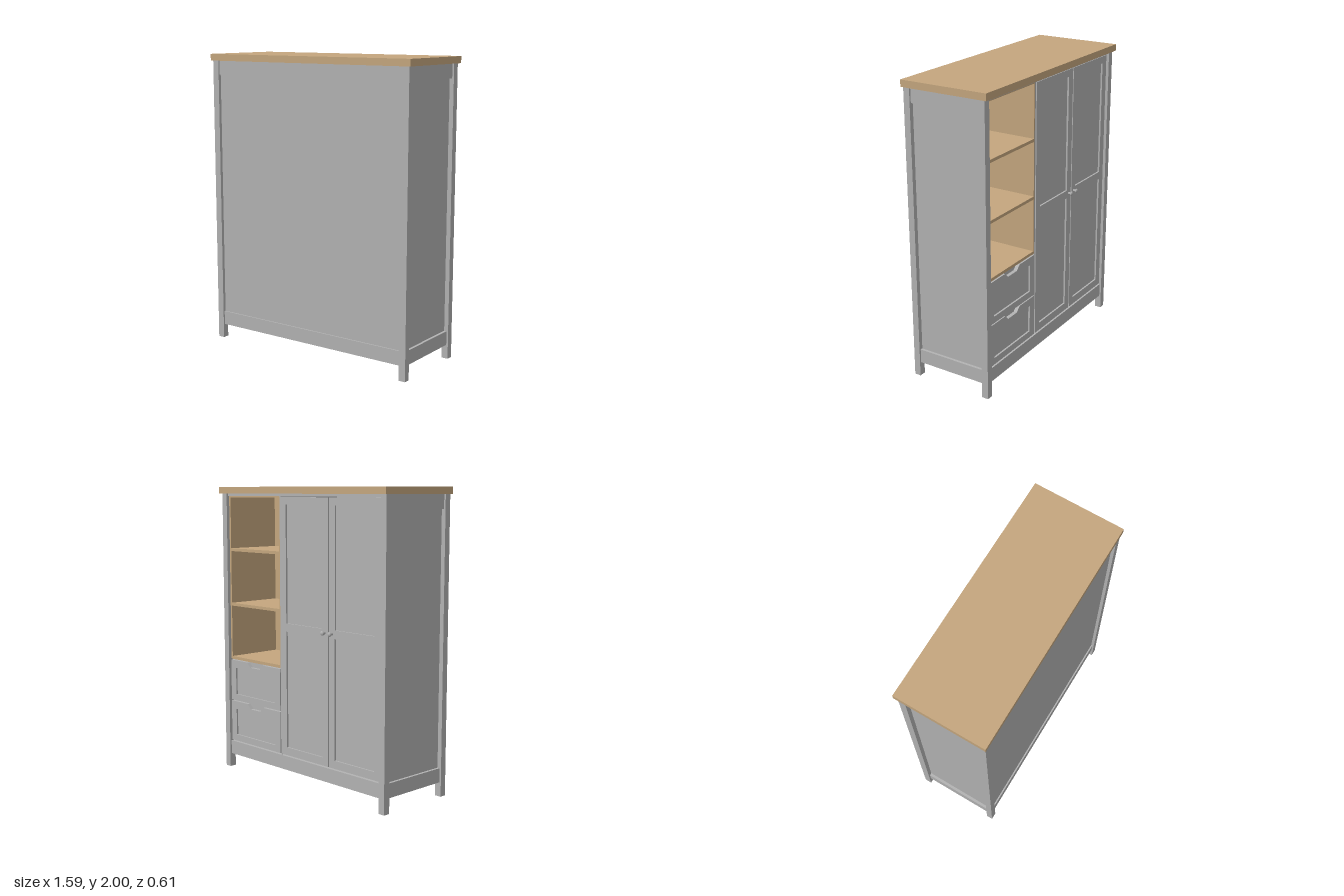
import * as THREE from 'three';

const grey = new THREE.MeshStandardMaterial({ color: 0xb2b2b2 });
grey.name = 'grey paint';
const wood = new THREE.MeshStandardMaterial({ color: 0xc4a67e });
wood.name = 'light wood';

export function createModel() {
  const model = new THREE.Group();
  model.name = 'wardrobe';

  const add = (name, geometry, material, parent = model) => {
    const mesh = new THREE.Mesh(geometry, material);
    mesh.name = name;
    parent.add(mesh);
    return mesh;
  };
  // box given by its limits on each axis
  const box = (name, material, [x0, x1], [y0, y1], [z0, z1], parent) => {
    const mesh = add(name, new THREE.BoxGeometry(x1 - x0, y1 - y0, z1 - z0), material, parent);
    mesh.position.set((x0 + x1) / 2, (y0 + y1) / 2, (z0 + z1) / 2);
    return mesh;
  };
  const polygon = (Type, points) => new Type(points.map(([x, y]) => new THREE.Vector2(x, y)));
  const rectHole = (x0, x1, y0, y1) => polygon(THREE.Path, [[x0, y0], [x0, y1], [x1, y1], [x1, y0]]);
  // frame cut from a flat outline, its face towards -z
  const frame = (name, outline, holes, parent) => {
    const shape = polygon(THREE.Shape, outline);
    shape.holes.push(...holes);
    const mesh = add(name, new THREE.ExtrudeGeometry(shape, { depth: 0.025, bevelEnabled: false }), grey, parent);
    mesh.position.z = -0.27;
  };

  // overhanging top board
  box('topBoard', wood, [-0.795, 0.795], [1.955, 2], [-0.307, 0.307]);

  // corner posts
  for (const [x0, x1] of [[-0.782, -0.735], [0.735, 0.782]]) {
    box('frontPost', grey, [x0, x1], [0, 1.955], [0.253, 0.297]);
    box('doorSidePost', grey, [x0, x1], [0, 1.955], [-0.287, -0.24]);
  }

  // recessed panels with raised rails
  const rails = [['lowerRail', 0.095, 0.19], ['upperRail', 1.86, 1.955]];
  for (const s of [-1, 1]) {
    const span = (a, b) => (s > 0 ? [a, b] : [-b, -a]);
    box('sidePanel', grey, span(0.738, 0.752), [0.095, 1.955], [-0.24, 0.253]);
    for (const [name, y0, y1] of rails) box('side ' + name, grey, span(0.752, 0.77), [y0, y1], [-0.24, 0.253]);
  }
  box('plainPanel', grey, [-0.738, 0.738], [0.095, 1.955], [0.255, 0.276]);
  for (const [name, y0, y1] of rails) box('plain ' + name, grey, [-0.735, 0.735], [y0, y1], [0.276, 0.286]);

  // carcass
  box('bottomPanel', grey, [-0.738, 0.738], [0.095, 0.12], [-0.25, 0.255]);
  box('plinthRail', grey, [-0.735, 0.735], [0.095, 0.19], [-0.275, -0.24]);
  box('topRail', grey, [-0.735, 0.735], [1.938, 1.955], [-0.275, 0.255]);
  box('divider', grey, [0.19, 0.2], [0.19, 1.938], [-0.265, 0.255]);

  // open compartment lined in wood
  const lining = new THREE.Group();
  lining.name = 'openShelves';
  model.add(lining);
  const depth = [-0.265, 0.14];
  box('liningLeft', wood, [0.72, 0.735], [0.79, 1.938], depth, lining);
  box('liningRight', wood, [0.2, 0.207], [0.79, 1.938], depth, lining);
  box('liningTop', wood, [0.207, 0.72], [1.928, 1.938], depth, lining);
  box('liningBack', wood, [0.2, 0.735], [0.79, 1.938], [0.14, 0.155], lining);
  for (const y of [0.808, 1.19, 1.575]) box('shelf', wood, [0.207, 0.72], [y - 0.02, y], depth, lining);

  // two drawers with a grip notch
  for (const [y0, y1] of [[0.198, 0.485], [0.493, 0.782]]) {
    const drawer = new THREE.Group();
    drawer.name = 'drawer';
    model.add(drawer);
    const x0 = 0.202, x1 = 0.731, c = 0.467;
    frame('drawerFrame',
      [[x0, y0], [x1, y0], [x1, y1], [c + 0.085, y1], [c + 0.052, y1 - 0.033], [c - 0.052, y1 - 0.033], [c - 0.085, y1], [x0, y1]],
      [rectHole(x0 + 0.053, x1 - 0.053, y0 + 0.045, y1 - 0.055)], drawer);
    box('drawerPanel', grey, [x0 + 0.05, x1 - 0.05], [y0 + 0.04, y1 - 0.05], [-0.258, -0.246], drawer);
    box('drawerBack', grey, [x0, x1], [y0, y1], [-0.244, -0.232], drawer);
  }

  // two panelled doors with knobs
  for (const [x0, x1, knobX] of [[-0.267, 0.187, -0.238], [-0.73, -0.276, -0.305]]) {
    const door = new THREE.Group();
    door.name = 'door';
    model.add(door);
    const y0 = 0.198, y1 = 1.933, a = x0 + 0.053, b = x1 - 0.053;
    frame('doorFrame', [[x0, y0], [x1, y0], [x1, y1], [x0, y1]],
      [rectHole(a, b, 0.252, 1.045), rectHole(a, b, 1.1, 1.885)], door);
    box('doorPanel', grey, [a - 0.003, b + 0.003], [0.25, 1.887], [-0.258, -0.246], door);

    const profile = [[0, 0], [0.008, 0], [0.007, 0.014], [0.014, 0.02], [0.015, 0.026], [0.011, 0.031], [0, 0.033]];
    const knob = add('knob', new THREE.LatheGeometry(profile.map(([r, h]) => new THREE.Vector2(r, h)), 16), grey, door);
    knob.rotation.x = -Math.PI / 2;
    knob.position.set(knobX, 1.075, -0.27);
  }
  return model;
}
